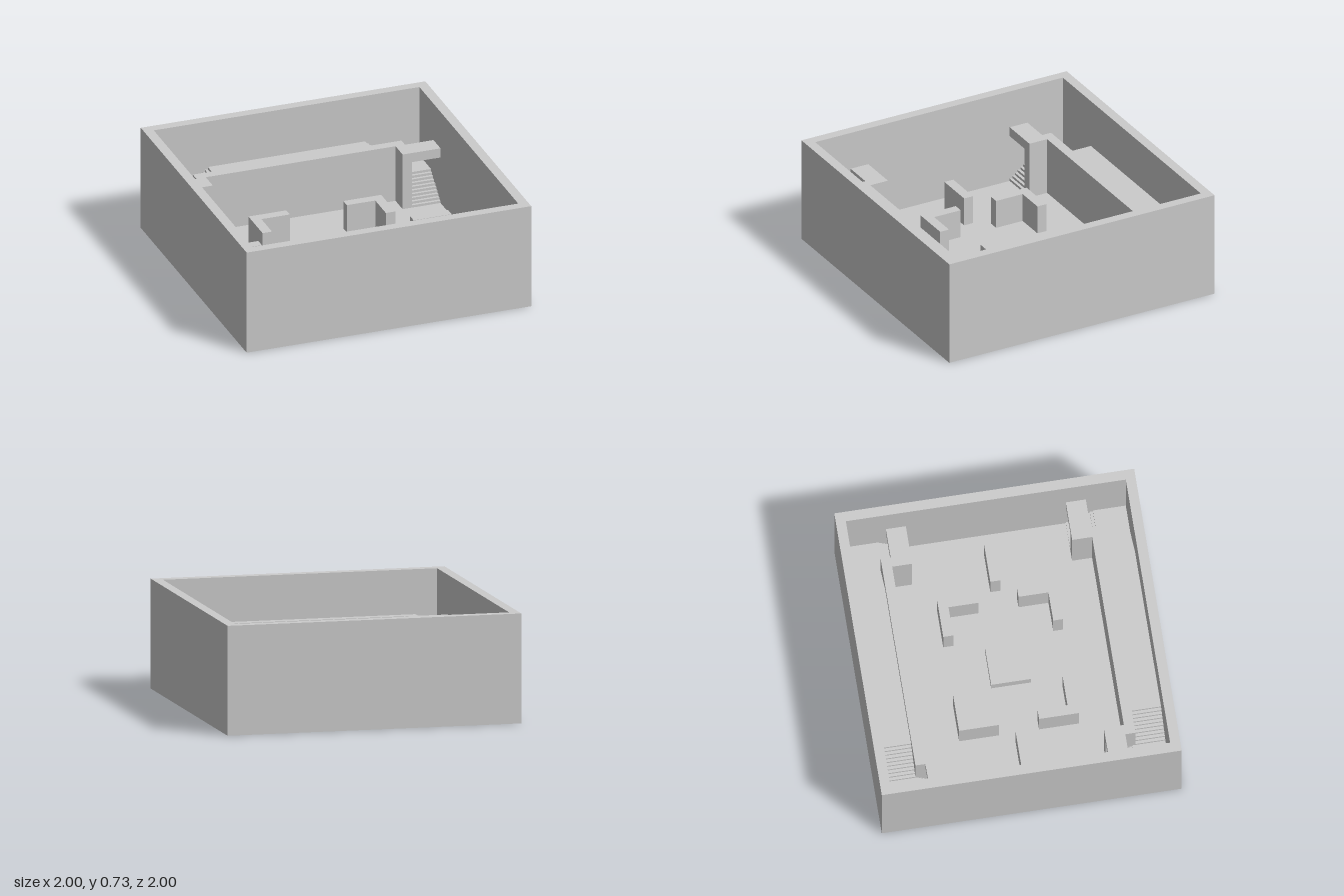
import * as THREE from 'three';

const UNIT = 1 / 15; // the arena is laid out on a 30 x 30 grid
const RISER = 0.25, TREAD = 0.3;
const material = new THREE.MeshStandardMaterial({ color: 0xcccccc, flatShading: true });

function add(group, name, geometry, x = 0, y = 0, z = 0) {
  const mesh = new THREE.Mesh(geometry, material);
  mesh.name = name;
  mesh.position.set(x, y, z);
  group.add(mesh);
  return mesh;
}

// Box given by opposite corners, in either order
function block(group, name, [x0, x1], [y0, y1], [z0, z1]) {
  const geometry = new THREE.BoxGeometry(Math.abs(x1 - x0), y1 - y0, Math.abs(z1 - z0));
  return add(group, name, geometry, (x0 + x1) / 2, (y0 + y1) / 2, (z0 + z1) / 2);
}

// Flat outline in plan, raised from y0 to y1; a hole runs the opposite way round
function plan(group, name, points, y0, y1, hole) {
  const shape = new THREE.Shape(points.map(([x, z]) => new THREE.Vector2(x, -z)));
  if (hole) shape.holes.push(new THREE.Path(hole.map(([x, z]) => new THREE.Vector2(x, -z))));
  const geometry = new THREE.ExtrudeGeometry(shape, { depth: y1 - y0, bevelEnabled: false });
  geometry.rotateX(-Math.PI / 2);
  return add(group, name, geometry, 0, y0, 0);
}

// Solid stair climbing along +x from the origin, 3 wide
function stairGeometry(base, steps, lastTread) {
  const shape = new THREE.Shape();
  shape.moveTo(0, 0);
  let x = 0;
  for (let i = 1; i <= steps; i++) {
    shape.lineTo(x, base + i * RISER);
    x += i === steps ? lastTread : TREAD;
    shape.lineTo(x, base + i * RISER);
  }
  shape.lineTo(x, 0);
  shape.closePath();
  return new THREE.ExtrudeGeometry(shape, { depth: 3, bevelEnabled: false }).translate(0, 0, -1.5);
}

const square = (r) => [[-r, -r], [r, -r], [r, r], [-r, r]];

export function createModel() {
  const root = new THREE.Group();
  root.name = 'arena';
  const arena = new THREE.Group();
  arena.name = 'arenaParts';
  arena.scale.setScalar(UNIT);
  root.add(arena);

  // Shell
  block(arena, 'floor', [-15, 15], [0, 1], [-15, 15]);
  plan(arena, 'outerWall', square(15), 1, 11, square(14).reverse());

  // Centre and side cover
  block(arena, 'centreBlock', [-2, 2], [1, 2], [-2, 2]);
  for (const sx of [-1, 1]) block(arena, 'sideBarrier', [sx * 8, sx * 12], [1, 4], [-0.5, 0.5]);

  for (const sz of [-1, 1]) {
    // Raised walkway along the end, with its front wall and parapet
    block(arena, 'walkway', [-8.3, 8.3], [1, 6], [sz * 14, sz * 11]);
    block(arena, 'walkwayWall', [-11, 11], [1, 7], [sz * 11, sz * 10]);

    for (const sx of [-1, 1]) {
      // L-shaped cover wall
      const corner = [[7, 6], [3, 6], [3, 5], [6, 5], [6, 2], [7, 2]];
      plan(arena, 'cornerCover', corner.map(([x, z]) => [sx * x, sz * z]), 1, 4);

      // Doorway at the foot of the stairs
      block(arena, 'doorPost', [sx * 10, sx * 11], [1, 7], [sz * 8, sz * 10]);
      block(arena, 'doorLintel', [sx * 11, sx * 14], [6, 7], [sz * 8, sz * 10]);

      // Lower flight ends in the corner landing, upper flight turns to the walkway
      add(arena, 'lowerStairs', stairGeometry(0, 10, 3.3), sx * 12.5, 1, sz * 8)
        .rotation.y = -sz * Math.PI / 2;
      add(arena, 'upperStairs', stairGeometry(2.5, 9, TREAD), sx * 11, 1, sz * 12.5)
        .rotation.y = sx > 0 ? Math.PI : 0;
    }
  }
  return root;
}
